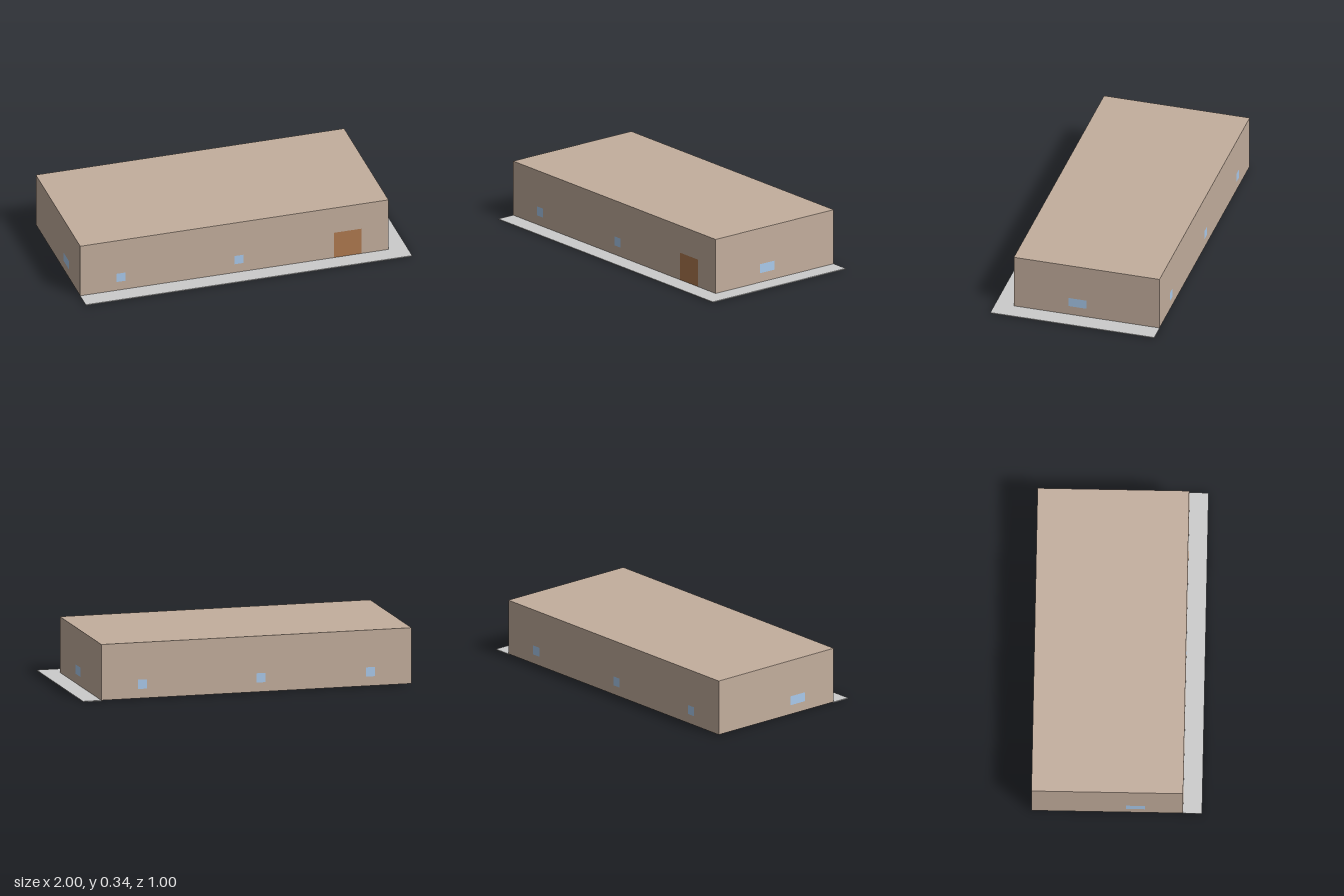
import * as THREE from 'three';

const UNIT = 1 / 18; // everything below is laid out on an 36 x 18 unit plot
const HEIGHT = 6, BASE = 0.1;

const material = (color) => new THREE.MeshStandardMaterial({ color, side: THREE.DoubleSide, flatShading: true });

function polygon(points) {
  return new THREE.Shape(points.map(([x, y]) => new THREE.Vector2(x, y)));
}

const rect = (x, y, w, h) => [[x, y], [x + w, y], [x + w, y + h], [x, y + h]];

export function createModel() {
  const model = new THREE.Group();
  model.name = 'building';
  const wallMat = material(0xc3ae9d);
  const glassMat = material(0xaacaec);
  const doorMat = material(0xae794f);
  const pavingMat = material(0xcccccc);

  function add(parent, name, geometry, mat) {
    const mesh = new THREE.Mesh(geometry, mat);
    mesh.name = name;
    parent.add(mesh);
    return mesh;
  }

  // A thin wall with its openings filled by flush panels; windows are [start, width]
  function addWall(name, length, [x, z], angle, windows, door) {
    const group = new THREE.Group();
    group.name = name;
    const notch = door ? [[door, 0], [door, 3], [door + 3, 3], [door + 3, 0]] : [];
    const shape = polygon([[0, 0], ...notch, [length, 0], [length, HEIGHT], [0, HEIGHT]]);
    for (const [start, width] of windows) {
      const pane = polygon(rect(start, 1, width, 1));
      shape.holes.push(pane);
      add(group, 'window', new THREE.ShapeGeometry(pane), glassMat);
    }
    if (door) add(group, 'door', new THREE.ShapeGeometry(polygon(rect(door, 0, 3, 3))), doorMat);
    add(group, name + 'Panel', new THREE.ShapeGeometry(shape), wallMat);
    group.position.set(x, BASE, z);
    group.rotation.y = angle;
    model.add(group);
  }

  addWall('frontWall', 34, [-18, 7], 0, [[4, 1], [17, 1]], 28);
  addWall('leftWall', 16, [16, 7], Math.PI / 2, [[6, 2]]);
  addWall('backWall', 34, [16, -9], Math.PI, [[4, 1], [17, 1], [29, 1]]);
  addWall('rightWall', 16, [-18, -9], -Math.PI / 2, [[10, 2]]);

  // Flat roof
  const roof = add(model, 'roof', new THREE.PlaneGeometry(34, 16).rotateX(-Math.PI / 2), wallMat);
  roof.position.set(-1, BASE + HEIGHT, -1);

  // L-shaped pavement along the front and left sides
  const outline = polygon([[-18, -9], [18, -9], [18, 9], [16, 9], [16, -7], [-18, -7]]);
  const paving = new THREE.ExtrudeGeometry(outline, { depth: BASE, bevelEnabled: false });
  add(model, 'pavement', paving.rotateX(-Math.PI / 2), pavingMat);

  model.scale.setScalar(UNIT);
  return model;
}
